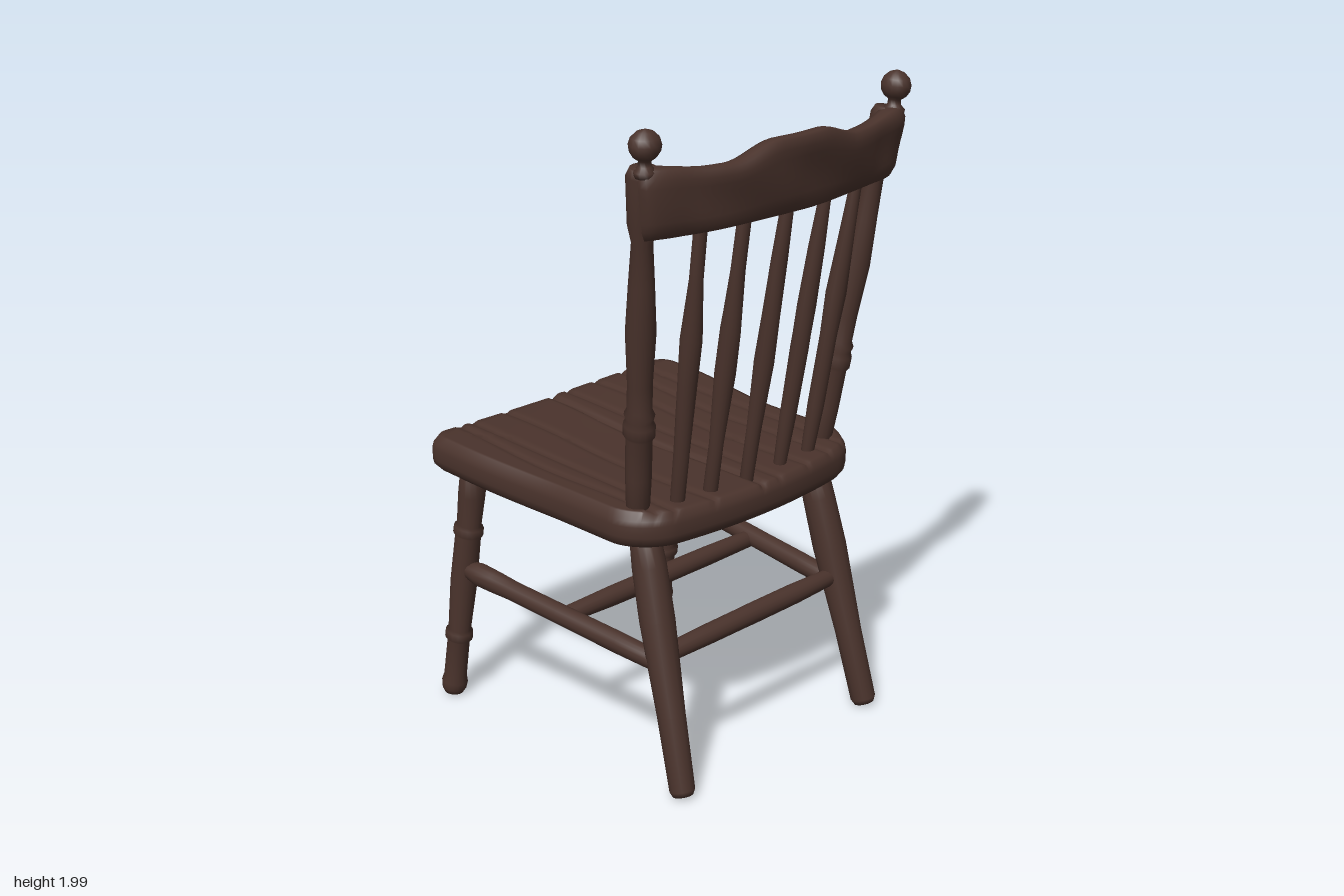
import * as THREE from 'three';
import { mergeVertices } from 'three/addons/utils/BufferGeometryUtils.js';

const wood = new THREE.MeshStandardMaterial({ color: 0x4a332c });
wood.name = 'dark wood';

// Move every vertex by a rule, then weld and smooth
function shape(geometry, rule) {
  geometry.deleteAttribute('uv');
  geometry.deleteAttribute('normal');
  const pos = geometry.attributes.position;
  const v = new THREE.Vector3();
  for (let i = 0; i < pos.count; i++) {
    rule(v.fromBufferAttribute(pos, i));
    pos.setXYZ(i, v.x, v.y, v.z);
  }
  const welded = mergeVertices(geometry, 1e-5);
  welded.computeVertexNormals();
  return welded;
}

// Hand-turned rod from a to b; profile is [fraction along, radius] pairs
function turned(name, a, b, profile, wobble = 0.05) {
  const from = new THREE.Vector3(...a), to = new THREE.Vector3(...b);
  const dir = to.clone().sub(from), len = dir.length();
  const pts = [new THREE.Vector2(0, 0)];
  profile.forEach(([t, r]) => pts.push(new THREE.Vector2(r, t * len)));
  pts.push(new THREE.Vector2(0, len));
  const seed = a[0] * 9 + a[2] * 5;
  const geo = shape(new THREE.LatheGeometry(pts, 16), (v) => {
    const k = 1 + wobble * Math.sin(2 * Math.atan2(v.x, v.z) + v.y * 14 + seed);
    v.x *= k;
    v.z *= k;
  });
  const mesh = new THREE.Mesh(geo, wood);
  mesh.name = name;
  mesh.position.copy(from);
  mesh.quaternion.setFromUnitVectors(new THREE.Vector3(0, 1, 0), dir.normalize());
  return mesh;
}

const { smoothstep, clamp } = THREE.MathUtils;

// Plank seat: rounded corners, bowed back edge, shallow seams on top
function seatGeometry() {
  const seams = [-0.39, -0.33, -0.2, -0.01, 0.07, 0.19, 0.3, 0.39];
  return shape(new THREE.BoxGeometry(2, 2, 2, 90, 6, 40), (p) => {
    const m = Math.max(Math.abs(p.x), Math.abs(p.z));
    let u = p.x, v = p.z;
    if (m > 0) {
      const r = v > 0 ? 0.28 : 0.1;
      const px = u / m, pz = v / m;
      const cx = clamp(px, r - 1, 1 - r), cz = clamp(pz, r - 1, 1 - r);
      const d = Math.hypot(px - cx, pz - cz) || 1;
      const s = d > 1e-6 ? r / d : 0;
      u = m * (cx + (px - cx) * s);
      v = m * (cz + (pz - cz) * s);
    }
    const edge = 1 - 0.035 * Math.pow(p.y, 4);
    u *= edge;
    v *= edge;
    let z = -0.063 + 0.475 * v;
    if (v > 0) z -= 0.06 * v * u * u;
    const x = u * (0.475 + 0.033 * (1 - smoothstep(z, -0.4, 0.03)));
    if (v < 0) z -= 0.012 * Math.pow(-v, 8) * smoothstep(x, 0, 0.03);
    let y = 0.81 + 0.022 * (1 - smoothstep(z, -0.5, 0)) + 0.05 * p.y;
    if (p.y > 0.99) {
      y += 0.008 * u * u;
      seams.forEach((g, i) => {
        const wander = g + 0.006 * Math.sin(z * 8 + i * 2);
        y -= (i === 3 ? 0.014 : 0.008) * Math.exp(-(((x - wander) / 0.01) ** 2));
      });
    }
    p.set(x, y, z);
  });
}

// Crest rail: bent backwards, leaning, with a raised centre
function railGeometry() {
  return shape(new THREE.BoxGeometry(2, 2, 2, 48, 8, 4), (p) => {
    const { x: u, y: t, z: d } = p;
    const a = Math.abs(u);
    const end = 1 - 0.012 * Math.pow(d, 4) - 0.02 * Math.pow(t, 6);
    const x = u * (0.518 + 0.015 * t) * end;
    const top = 1.876 + 0.042 * (1 - smoothstep(a, 0.15, 0.5)) + 0.018 * smoothstep(a, 0.6, 0.95);
    const y = 1.69 + (top - 1.69) * (t + 1) / 2 - 0.006 * t * d * d;
    const half = (0.034 + 0.014 * smoothstep(a, 0.7, 1)) * (1 - 0.25 * Math.pow(t, 8)) *
      (1 - 0.2 * Math.pow(u, 20));
    const z = 0.488 - 0.09 * u * u + 0.018 * t * (1 - a * 0.7) + d * half;
    p.set(x, y, z + 0.003 * Math.sin(x * 17 + y * 30));
  });
}

export function createModel() {
  const chair = new THREE.Group();
  chair.name = 'chair';
  const add = (name, geo) => {
    const mesh = new THREE.Mesh(geo, wood);
    mesh.name = name;
    chair.add(mesh);
  };
  add('seat', seatGeometry());
  add('crestRail', railGeometry());

  const plainLeg = [[0, 0.03], [0.02, 0.037], [0.3, 0.043], [0.65, 0.05], [0.85, 0.052], [1, 0.045]];
  const ringedLeg = [[0, 0.028], [0.02, 0.036], [0.05, 0.039], [0.08, 0.034], [0.24, 0.036], [0.25, 0.045],
    [0.28, 0.045], [0.29, 0.037], [0.5, 0.041], [0.7, 0.039], [0.71, 0.046], [0.74, 0.046], [0.75, 0.038],
    [0.88, 0.044], [1, 0.042]];
  const post = [[0, 0.034], [0.12, 0.036], [0.24, 0.038], [0.25, 0.046], [0.28, 0.047], [0.295, 0.04],
    [0.31, 0.046], [0.325, 0.038], [0.4, 0.037], [0.55, 0.041], [0.68, 0.037], [0.8, 0.031], [0.85, 0.042],
    [0.98, 0.045], [1, 0.036]];
  const finial = [[0, 0.03], [0.12, 0.032], [0.22, 0.019], [0.34, 0.018], [0.42, 0.032], [0.55, 0.042],
    [0.68, 0.044], [0.82, 0.038], [0.94, 0.022]];
  const sideStretcher = [[0, 0.03], [0.2, 0.031], [0.5, 0.032], [0.75, 0.029], [0.85, 0.034], [0.93, 0.037], [1, 0.028]];

  // Mirrored legs, posts, finials and side stretchers
  for (const s of [1, -1]) {
    const side = s > 0 ? 'left' : 'right';
    chair.add(
      turned(side + 'BackLeg', [s * 0.402, 0.014, 0.463], [s * 0.357, 0.79, 0.255], plainLeg),
      turned(side + 'SeatFrontLeg', [s * 0.462, 0.012, -0.503], [s * 0.425, 0.8, -0.41], ringedLeg),
      turned(side + 'BackPost', [s * 0.385, 0.83, 0.262], [s * 0.492, 1.89, 0.4], post),
      turned(side + 'Finial', [s * 0.5, 1.87, 0.413], [s * 0.505, 2, 0.421], finial),
      turned(side + 'Stretcher', [s * 0.385, 0.395, 0.355], [s * 0.44, 0.45, -0.44], sideStretcher)
    );
  }

  // Cross stretchers
  const bar = [[0, 0.027], [0.25, 0.03], [0.5, 0.033], [0.75, 0.03], [1, 0.027]];
  chair.add(
    turned('backStretcher', [-0.375, 0.415, 0.35], [0.375, 0.425, 0.35], bar),
    turned('middleStretcher', [-0.415, 0.415, -0.04], [0.415, 0.415, -0.04], bar)
  );

  // Back spindles
  const spindle = [[0, 0.02], [0.2, 0.023], [0.45, 0.028], [0.6, 0.029], [0.8, 0.022], [1, 0.018]];
  [[-0.278, -0.32], [-0.155, -0.172], [-0.008, -0.01], [0.138, 0.156], [0.272, 0.312]].forEach(([x0, x1], i) => {
    const bow = 1 - (x1 / 0.5) ** 2;
    chair.add(turned('spindle' + (i + 1), [x0, 0.83, 0.29 + 0.035 * bow], [x1, 1.73, 0.4 + 0.075 * bow], spindle, 0.1));
  });
  return chair;
}
